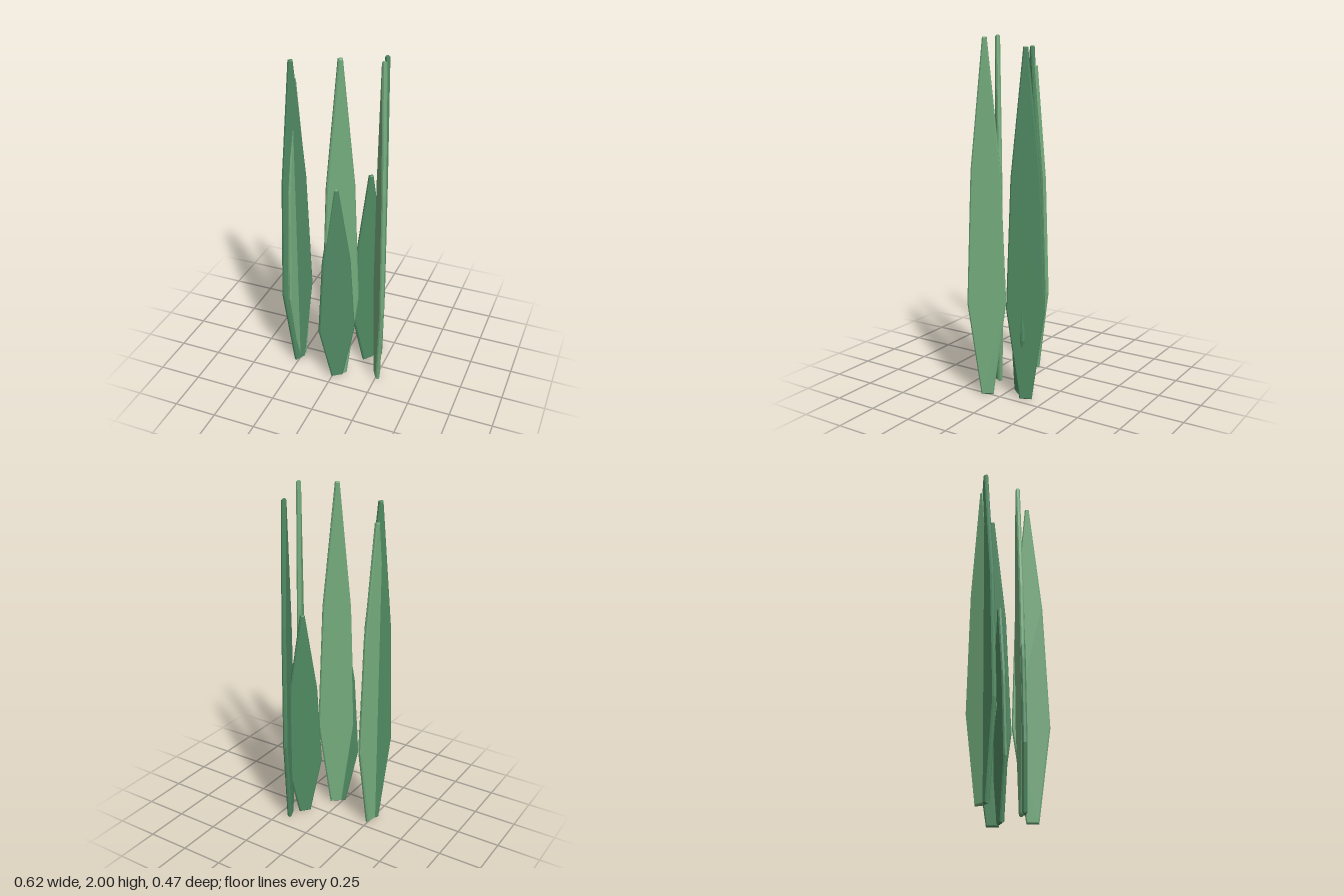
import * as THREE from 'three';

const BEVEL = 0.007, CORE = 0.012;

// Flat leaf blade: narrow foot, widest low down, tapering to a blunt tip
function bladeGeometry(height, halfWidth) {
  const profile = [
    [0.32, 0], [1, 0.27], [0.75, 0.645], [0.11, 1],
  ].map(([w, h]) => new THREE.Vector2(w * halfWidth, h * height));
  const mirrored = profile.map((p) => new THREE.Vector2(-p.x, p.y)).reverse();
  const geometry = new THREE.ExtrudeGeometry(new THREE.Shape([...profile, ...mirrored]), {
    depth: CORE, bevelEnabled: true, bevelSegments: 1,
    bevelSize: BEVEL, bevelThickness: BEVEL, bevelOffset: -BEVEL,
  });
  return geometry.translate(0, 0, -CORE / 2);
}

export function createModel() {
  const group = new THREE.Group();
  const light = new THREE.MeshStandardMaterial({ color: 0x74ac7d, flatShading: true });
  const dark = new THREE.MeshStandardMaterial({ color: 0x508a62, flatShading: true });

  // Each blade: name, centre x and z, height, direction of its width (x, z), material
  const blades = [
    ['leftLightBlade', -0.249, 0.077, 1.83, 0.045, -0.205, light],
    ['leftDarkBlade', -0.253, 0.102, 1.94, 0.1, -0.19, dark],
    ['frontTallBlade', 0.039, 0.143, 2.0, 0.165, -0.14, light],
    ['frontShortBlade', 0.022, 0.167, 1.28, 0.18, -0.127, dark],
    ['backShortBlade', 0.141, -0.053, 1.28, 0.137, -0.158, dark],
    ['backTallBlade', 0.191, -0.135, 1.94, 0.085, 0.195, dark],
    ['rightTallBlade', 0.249, 0.084, 1.99, 0.105, 0.185, light],
  ];
  for (const [name, x, z, height, dx, dz, material] of blades) {
    const blade = new THREE.Mesh(bladeGeometry(height, 0.108), material);
    blade.name = name;
    blade.position.set(x, 0, z);
    blade.rotation.y = Math.atan2(-dz, dx);
    group.add(blade);
  }
  return group;
}
